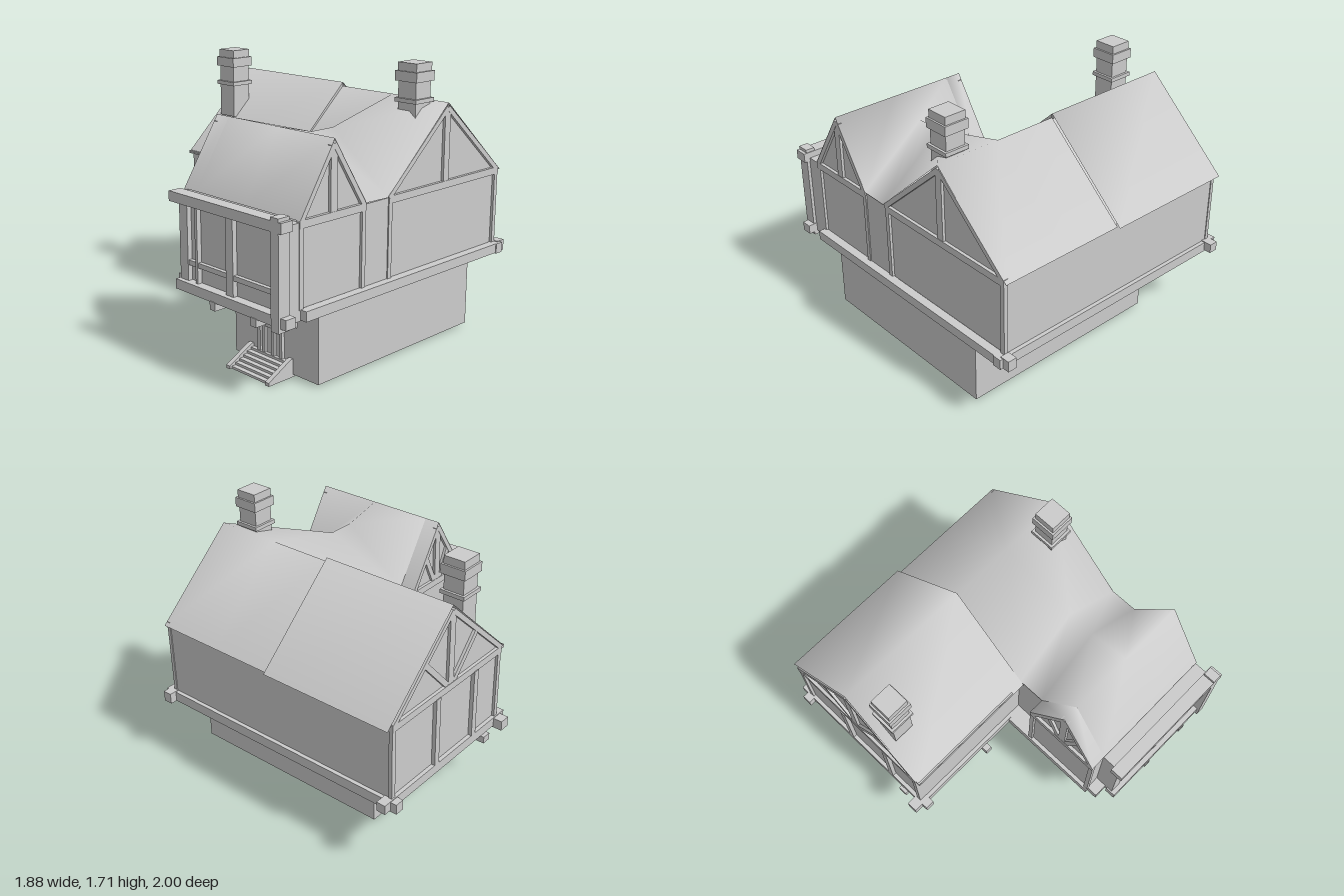
import * as THREE from 'three';

const mat = new THREE.MeshStandardMaterial({ color: 0xcccccc });
const sheetMat = new THREE.MeshStandardMaterial({ color: 0xcccccc, side: THREE.DoubleSide });

export function createModel() {
  const root = new THREE.Group();

  const add = (name, geo, material = mat) => {
    const m = new THREE.Mesh(geo, material);
    m.name = name;
    root.add(m);
    return m;
  };
  // axis-aligned block given by its limits
  const block = (name, x0, x1, y0, y1, z0, z1) =>
    add(name, new THREE.BoxGeometry(x1 - x0, y1 - y0, z1 - z0)
      .translate((x0 + x1) / 2, (y0 + y1) / 2, (z0 + z1) / 2));
  // slanted timber between two points
  const beam = (name, a, b, w = 0.03, h = 0.03) => {
    const A = new THREE.Vector3(...a), B = new THREE.Vector3(...b);
    const m = add(name, new THREE.BoxGeometry(w, h, A.distanceTo(B)));
    m.position.copy(A).add(B).multiplyScalar(0.5);
    m.lookAt(B);
  };
  // sheet through rows of points, smooth across shared vertices
  const loft = (name, rows) => {
    const n = rows[0].length, index = [];
    for (let i = 0; i < rows.length - 1; i++)
      for (let j = 0; j < n - 1; j++) {
        const a = i * n + j, b = a + n;
        index.push(a, b, a + 1, b, b + 1, a + 1);
      }
    const g = new THREE.BufferGeometry();
    g.setAttribute('position', new THREE.Float32BufferAttribute(rows.flat(2), 3));
    g.setIndex(index);
    g.computeVertexNormals();
    return add(name, g, sheetMat);
  };
  // (z, y) outline extruded along x
  const prism = (name, pts, x0, x1) => {
    const g = new THREE.ExtrudeGeometry(new THREE.Shape(pts.map(p => new THREE.Vector2(...p))),
      { depth: x1 - x0, bevelEnabled: false });
    return add(name, g.rotateY(-Math.PI / 2).translate(x1, 0, 0));
  };

  // Ground floor: L-shaped walls, open underneath
  const plan = [[0.18, 0.67], [0.87, 0.67], [0.87, -0.67], [-0.54, -0.67], [-0.54, 0], [0.18, 0], [0.18, 0.67]];
  const walls = loft('groundFloorWalls', [0.44, 0.015].map(y => plan.map(([x, z]) => [x, y, z])));
  walls.geometry = walls.geometry.toNonIndexed();
  walls.geometry.computeVertexNormals();
  for (const x of [-0.4, -0.2]) block('groundPost', x - 0.013, x + 0.013, 0.005, 0.44, -0.01, 0.02);

  // Door with frame
  for (const x of [0.405, 0.445, 0.52, 0.585]) block('doorUpright', x - 0.012, x + 0.012, 0.09, 0.44, 0.66, 0.69);
  for (const y of [0.26, 0.43]) block('doorRail', 0.44, 0.59, y - 0.01, y + 0.01, 0.66, 0.685);
  block('doorPanel', 0.44, 0.59, 0.09, 0.44, 0.66, 0.675);

  // Entrance stairs
  const steps = 6;
  for (let i = 0; i < steps; i++)
    block('step', 0.34, 0.64, i * 0.015, (i + 1) * 0.015, 0.67, 0.845 - i * 0.03);
  for (const x of [0.31, 0.64])
    prism('stairSide', [[0.66, 0], [0.86, 0], [0.86, 0.02], [0.69, 0.11], [0.66, 0.11]], x, x + 0.03);

  // Jetty floor and upper walls
  block('mainJetty', -0.86, 0.88, 0.44, 0.5, -0.93, 0.12);
  block('wingJetty', -0.06, 0.88, 0.44, 0.5, 0.12, 0.9);
  prism('mainUpperWalls', [[-0.925, 0.5], [0.115, 0.5], [0.115, 0.985], [-0.4, 1.465], [-0.925, 0.985]], -0.855, 0.865);
  prism('wingUpperWalls', [[0.315, 0.5], [0.825, 0.5], [0.825, 0.99], [0.57, 1.385], [0.315, 0.99]], -0.055, 0.865);
  block('linkWalls', 0.035, 0.875, 0.5, 0.99, 0.09, 0.33);
  block('bay', 0.03, 0.88, 0.45, 0.99, 0.8, 0.925);

  // Sill beams with crossing ends
  block('leftSill', -0.88, -0.82, 0.45, 0.51, -1, 0.18);
  block('frontSill', -0.94, -0.06, 0.44, 0.505, 0.07, 0.14);
  block('backSill', -0.92, 0.93, 0.44, 0.505, -0.95, -0.89);
  block('rightSill', 0.87, 0.925, 0.445, 0.505, -0.94, 0.82);
  block('backRightSillEnd', 0.85, 0.91, 0.44, 0.51, -0.995, -0.93);
  block('wingLeftSill', -0.08, -0.03, 0.44, 0.5, 0.1, 0.83);
  block('wingFrontSill', -0.08, 0.04, 0.44, 0.48, 0.77, 0.83);

  // Bay frame on the front
  block('bayTopBeam', -0.005, 0.92, 0.97, 1.03, 0.915, 1);
  block('bayBottomBeam', 0.02, 0.94, 0.445, 0.505, 0.915, 0.985);
  block('bayCornerPost', 0.84, 0.9, 0.42, 1.05, 0.92, 1);
  for (const [a, b] of [[0.03, 0.1], [0.165, 0.185], [0.43, 0.49], [0.82, 0.85]])
    block('bayPost', a, b, 0.5, 0.97, 0.91, 0.955);
  for (const [a, b] of [[0.6, 0.63], [0.95, 0.975]]) block('bayRail', 0.03, 0.85, a, b, 0.91, 0.95);

  // Joists with slanted brackets under the overhangs
  for (const [x, zw, ze, r] of [[-0.31, 0, 0.18, 0.1], [-0.01, 0, 0.18, 0.1], [0.35, 0.67, 0.99, 0.16], [0.69, 0.67, 0.99, 0.16]]) {
    block('joist', x - 0.022, x + 0.022, 0.4, 0.45, zw, ze);
    beam('bracket', [x, 0.32, zw], [x, 0.41, zw + r]);
  }
  block('leftJoist', -0.9, -0.5, 0.4, 0.445, -0.06, 0);
  beam('leftBracket', [-0.54, 0.315, -0.03], [-0.7, 0.41, -0.03]);
  block('wingLeftJoist', -0.07, 0.2, 0.4, 0.445, 0.58, 0.63);
  beam('wingLeftBracket', [0.18, 0.335, 0.605], [0.02, 0.43, 0.605]);

  // Timber framing of the side walls
  for (const [x, z0, z1] of [[0.87, -0.93, 0.115], [-0.86, -0.93, 0.115], [0.87, 0.31, 0.83], [-0.06, 0.31, 0.83]]) {
    block('gableTieBeam', x - 0.015, x + 0.015, 0.955, 1, z0, z1);
    for (const z of [z0, z1 - 0.03]) block('cornerPost', x - 0.012, x + 0.012, 0.5, 0.96, z, z + 0.03);
  }
  for (const z of [-0.52, -0.15]) block('leftWallPost', -0.88, -0.85, 0.5, 0.96, z - 0.02, z + 0.02);

  // Gable timbers: rakes, king post and struts
  const gable = (x, zc, half, top, struts) => {
    block('kingPost', x - 0.013, x + 0.013, 0.98, top - 0.03, zc - 0.025, zc + 0.025);
    for (const s of [-1, 1]) {
      beam('gableRake', [x, 0.99, zc + s * (half - 0.015)], [x, top - 0.025, zc], 0.03, 0.03);
      if (struts) beam('gableStrut', [x, 1, zc + s * 0.03], [x, 0.99 + (top - 1) * 0.5, zc + s * half * 0.46], 0.025, 0.035);
    }
  };
  gable(0.87, -0.4, 0.53, 1.47, false);
  gable(-0.86, -0.4, 0.53, 1.49, true);
  gable(0.87, 0.57, 0.26, 1.4, false);
  gable(-0.06, 0.57, 0.26, 1.4, true);

  // Main roof, left half
  const mainProfile = [[0.155, 0.98], [-0.4, 1.5], [-0.97, 0.98]];
  loft('leftRoof', [0.03, -0.87].map(x => mainProfile.map(([z, y]) => [x, y, z])));
  loft('leftRoofEnd', [[[0.03, 0.98, 0.155], [0.03, 1.5, -0.4]], [[0.03, 0.96, 0.155], [0.03, 1.45, -0.4]], [[0.03, 0.98, -0.95], [0.03, 1.45, -0.4]]]);
  block('leftEave', -0.87, -0.06, 0.975, 0.995, 0.11, 0.15);

  // Right roof: two gables joined by a sagging cross ridge
  const zs = [0.83, 0.57, 0.31, 0.13, -0.4, -0.95];
  const edge = [1, 1.405, 1, 0.995, 1.475, 0.98];
  const ridge = [1, 1.405, 1.34, 1.34, 1.475, 0.98];
  loft('rightRoof', [[0.885, edge], [0.45, ridge], [0.03, edge]].map(([x, ys]) => zs.map((z, i) => [x, ys[i], z])));
  loft('wingRoofEnd', [0.03, -0.075].map(x => [0, 1, 2].map(i => [x, edge[i], zs[i]])));

  // Chimneys
  const chimney = (x, z, base, top) => {
    const part = (name, w, y0, y1) => block(name, x - w / 2, x + w / 2, y0, y1, z - w / 2, z + w / 2);
    part('chimneyShaft', 0.135, base, top);
    part('chimneyBand', 0.165, top - 0.235, top - 0.21);
    part('chimneyCollar', 0.165, top - 0.11, top - 0.05);
    part('chimneyTop', 0.142, top - 0.05, top);
  };
  chimney(-0.74, -0.15, 1.22, 1.665);
  chimney(0.715, -0.285, 1.2, 1.71);

  return root;
}
